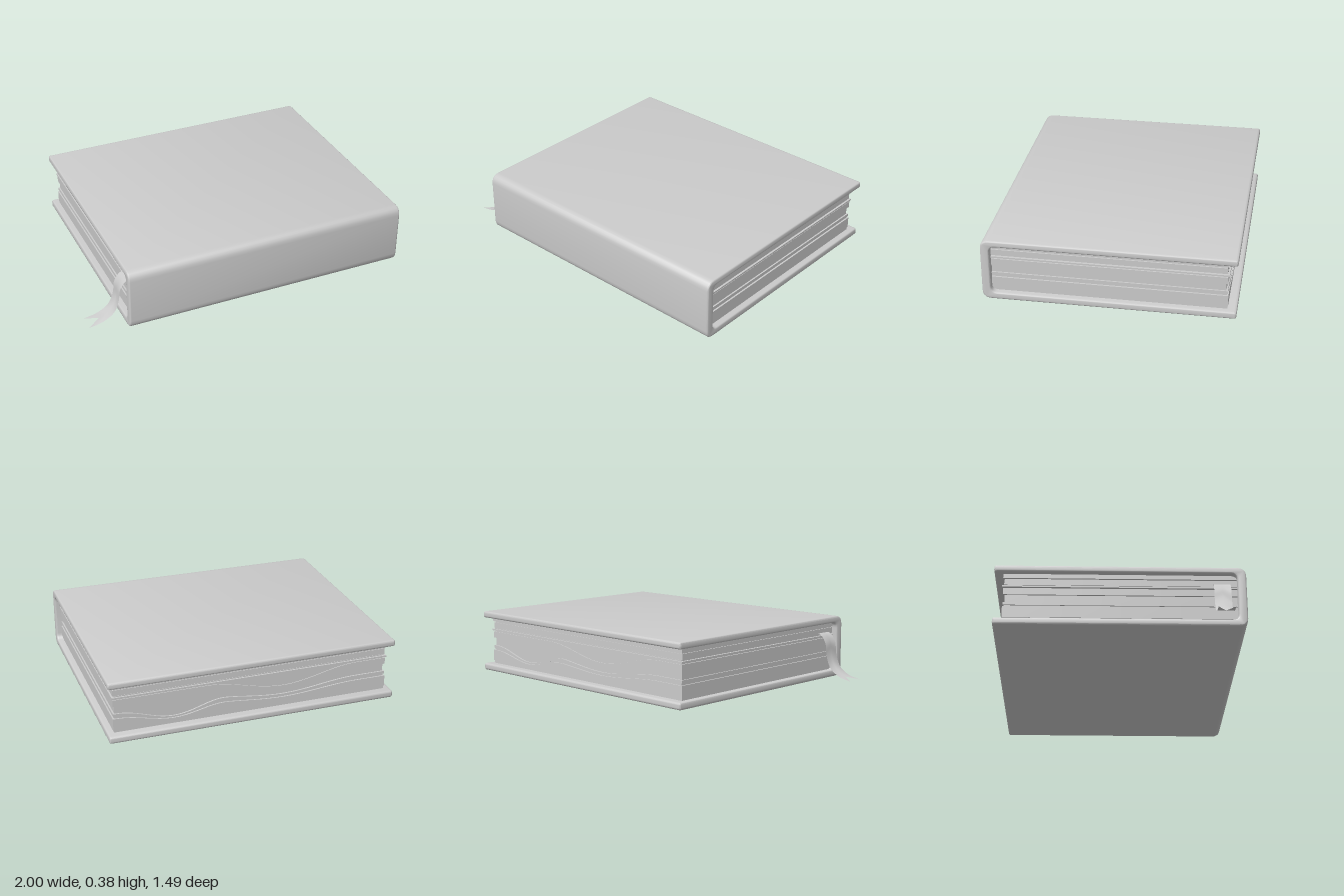
import * as THREE from 'three';
import { toCreasedNormals } from 'three/addons/utils/BufferGeometryUtils.js';

const X0 = -0.78, X1 = 1.0;
const mat = new THREE.MeshStandardMaterial({ color: 0xcccccc });
const thinMat = new THREE.MeshStandardMaterial({ color: 0xcccccc, side: THREE.DoubleSide });
const smooth = THREE.MathUtils.smoothstep;

function part(name, geometry, material = mat) {
  const mesh = new THREE.Mesh(geometry, material);
  mesh.name = name;
  return mesh;
}

// U-shaped case: two boards joined by a round-cornered spine (profile x = -z)
function coverGeometry() {
  const s = new THREE.Shape();
  const top = 0.385, r = 0.055, zs = -0.745, edge = 0.74;
  s.moveTo(edge - 0.015, 0);
  s.quadraticCurveTo(edge, 0, edge, 0.014);
  s.lineTo(edge, 0.03);
  s.quadraticCurveTo(edge, 0.043, edge - 0.015, 0.043);
  s.lineTo(-0.655, 0.043);
  s.quadraticCurveTo(-0.692, 0.043, -0.692, 0.08);
  s.lineTo(-0.692, 0.308);
  s.quadraticCurveTo(-0.692, 0.345, -0.655, 0.345);
  s.lineTo(edge - 0.015, 0.345);
  s.quadraticCurveTo(edge, 0.345, edge, 0.358);
  s.lineTo(edge, 0.371);
  s.quadraticCurveTo(edge, top, edge - 0.015, top);
  s.lineTo(zs + r, top);
  s.quadraticCurveTo(zs, top, zs, top - r);
  s.lineTo(zs, r);
  s.quadraticCurveTo(zs, 0, zs + r, 0);
  const b = 0.01;
  const g = new THREE.ExtrudeGeometry(s, {
    depth: X1 - X0 - 2 * b, curveSegments: 5,
    bevelThickness: b, bevelSize: b, bevelOffset: -b, bevelSegments: 3,
  });
  g.rotateY(Math.PI / 2);
  g.translate(X0 + b, 0, 0);
  return toCreasedNormals(g, 0.7);
}

// Seams where the leaves below sag open along the fore edge
const gaps = [
  { y: 0.16, x: 0.6, half: 0.34, drop: 0.07 },
  { y: 0.25, x: -0.08, half: 0.48, drop: 0.075 },
];
const BASE = 0.043;

function sag(x, y, z) {
  for (const g of gaps) {
    if (y > g.y + 0.001) continue;
    const d = Math.min(1, Math.abs(x - g.x) / g.half);
    const bump = 0.5 + 0.5 * Math.cos(Math.PI * d);
    y -= g.drop * bump * smooth(-z, -0.1, 0.68) * (y - BASE) / (g.y - BASE);
  }
  return y;
}

// One bundle of leaves
function pageGeometry(y0, y1, back, inset) {
  const left = X0 + 0.035 + inset, right = X1 - 0.035 - inset, front = 0.7;
  const g = new THREE.BoxGeometry(right - left, y1 - y0, front - back, 48, 1, 12);
  g.translate((left + right) / 2, (y0 + y1) / 2, (front + back) / 2);
  const p = g.attributes.position;
  for (let i = 0; i < p.count; i++) p.setY(i, sag(p.getX(i), p.getY(i), p.getZ(i)));
  g.computeVertexNormals();
  return g;
}

// Curling bookmark with a swallow-tail end
function ribbonGeometry() {
  const path = new THREE.CatmullRomCurve3([
    [-0.7, 0.285], [-0.76, 0.28], [-0.8, 0.23], [-0.812, 0.15],
    [-0.845, 0.075], [-0.915, 0.03], [-1.0, 0.012],
  ].map(([x, y]) => new THREE.Vector3(x, y, 0)));
  const g = new THREE.PlaneGeometry(1, 0.1, 28, 2);
  const p = g.attributes.position;
  for (let i = 0; i < p.count; i++) {
    const w = p.getY(i);
    const notch = Math.abs(w) < 0.01 ? 0.83 : 1;
    const c = path.getPointAt((p.getX(i) + 0.5) * notch);
    p.setXYZ(i, c.x, c.y, 0.6 + w);
  }
  g.computeVertexNormals();
  return g;
}

export function createModel() {
  const book = new THREE.Group();
  book.name = 'book';
  book.add(part('cover', coverGeometry()));

  // Leaf bundles: top height, fore edge z, end inset
  const pages = new THREE.Group();
  pages.name = 'pages';
  const bundles = [
    [0.06, -0.685, 0.004], [0.13, -0.688, 0], [0.142, -0.68, 0.01], [0.16, -0.684, 0.003],
    [0.21, -0.675, 0.012], [0.25, -0.685, 0.002], [0.258, -0.68, 0.012], [0.268, -0.692, -0.003],
    [0.274, -0.682, 0.012], [0.31, -0.68, 0.004], [0.318, -0.676, 0.012], [0.345, -0.687, 0],
  ];
  let y = BASE;
  bundles.forEach(([top, back, inset], i) => {
    pages.add(part('pageBundle' + (i + 1), pageGeometry(y, top, back, inset)));
    y = top;
  });
  book.add(pages);

  book.add(part('bookmarkRibbon', ribbonGeometry(), thinMat));
  return book;
}
